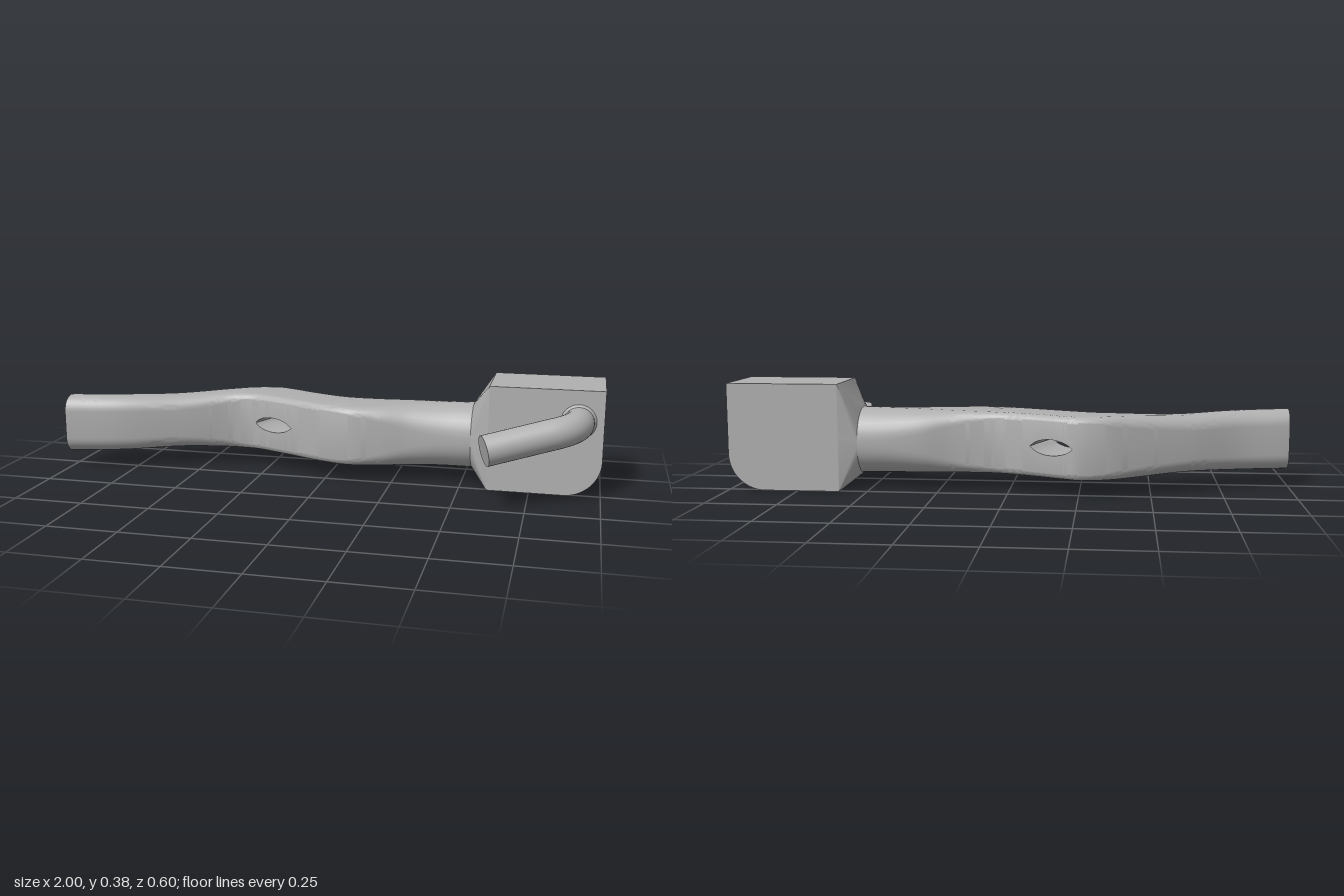
import * as THREE from 'three';
import { toCreasedNormals } from 'three/addons/utils/BufferGeometryUtils.js';

const V = (x, y, z) => new THREE.Vector3(x, y, z);

// Half of a rounded-rectangle section, running front -> top (or bottom) -> back.
// gap lifts the open edge off the middle line, which opens the slot.
function halfSection(back, front, cy, halfH, radius, gap, sign) {
  const mid = back.clone().add(front).multiplyScalar(0.5);
  const dir = front.clone().sub(back);
  const w = dir.length() / 2;
  const r = Math.min(radius, w - 0.001, halfH - 0.001);
  dir.normalize();
  const at = (s, y) => V(mid.x + dir.x * s, cy + sign * y, mid.z + dir.z * s);
  const pts = [at(w, gap)];
  for (const side of [0, 1]) {
    for (let i = 0; i <= 8; i++) {
      const a = (side + i / 8) * Math.PI / 2;
      pts.push(at((side ? r - w : w - r) + r * Math.cos(a), halfH - r + r * Math.sin(a)));
    }
  }
  pts.push(at(-w, gap));
  return pts;
}

// Joins closed rings into a skin; optionally caps the first ring.
function loft(rings, flip, capStart, crease) {
  const n = rings[0].length;
  const pos = rings.flat().flatMap(p => [p.x, p.y, p.z]);
  const idx = [];
  const tri = (a, b, c) => (flip ? idx.push(a, c, b) : idx.push(a, b, c));
  for (let i = 0; i < rings.length - 1; i++) {
    for (let j = 0; j < n; j++) {
      const k = (j + 1) % n, a = i * n, b = a + n;
      tri(a + j, b + j, a + k);
      tri(b + j, b + k, a + k);
    }
  }
  if (capStart) for (let j = 1; j < n - 1; j++) tri(0, j, j + 1);
  const g = new THREE.BufferGeometry();
  g.setAttribute('position', new THREE.Float32BufferAttribute(pos, 3));
  g.setIndex(idx);
  return toCreasedNormals(g, crease);
}

export function createModel() {
  const model = new THREE.Group();
  const grey = new THREE.MeshStandardMaterial({ color: 0xb0b0b0 });
  grey.name = 'plain grey';
  const add = (name, geometry) => {
    const m = new THREE.Mesh(geometry, grey);
    m.name = name;
    model.add(m);
    return m;
  };

  // Wavy arm stations: back x, back z, front x, front z, half height, corner radius
  const stations = [
    [-1, -0.02, -1, 0.10, 0.11, 0.058],
    [-0.82, -0.075, -0.79, 0.05, 0.107, 0.055],
    [-0.64, -0.165, -0.58, -0.035, 0.101, 0.05],
    [-0.44, -0.255, -0.43, -0.102, 0.108, 0.04],
    [-0.34, -0.293, -0.37, -0.119, 0.11, 0.03],
    [-0.25, -0.305, -0.32, -0.12, 0.11, 0.025],
    [-0.19, -0.287, -0.27, -0.105, 0.11, 0.025],
    [-0.08, -0.235, -0.15, -0.055, 0.11, 0.025],
    [0.02, -0.197, -0.02, 0.0, 0.11, 0.025],
    [0.09, -0.19, 0.09, 0.03, 0.11, 0.03],
    [0.2, -0.2, 0.2, 0.02, 0.112, 0.05],
    [0.31, -0.224, 0.31, 0.0, 0.115, 0.08],
    [0.42, -0.237, 0.42, -0.01, 0.117, 0.1],
    [0.54, -0.245, 0.54, -0.015, 0.12, 0.11],
  ];
  const curve = f => new THREE.CatmullRomCurve3(stations.map(f), false, 'catmullrom', 0.5);
  const backLine = curve(s => V(s[0], 0, s[1]));
  const frontLine = curve(s => V(s[2], 0, s[3]));
  const sizeLine = curve(s => V(s[4], s[5], 0));
  const midY = 0.17, count = 220;

  // Upper and lower halves of the arm, parting around the slot
  for (const sign of [1, -1]) {
    const rings = [];
    for (let i = 0; i <= count; i++) {
      const t = i / count;
      const b = backLine.getPoint(t), f = frontLine.getPoint(t), s = sizeLine.getPoint(t);
      const u = ((b.x + f.x) / 2 + 0.19) / 0.075;
      const gap = 0.028 * Math.pow(Math.max(0, 1 - u * u), 0.7);
      rings.push(halfSection(b, f, midY, s.x, s.y, gap, sign));
    }
    add(sign > 0 ? 'armUpperHalf' : 'armLowerHalf', loft(rings, sign < 0, true, 0.6));
  }

  // Flared collar from the arm to the block
  const fullSection = (x, z0, z1, cy, halfH, r) => {
    const half = s => halfSection(V(x, 0, z0), V(x, 0, z1), cy, halfH, r, 0, s);
    return [...half(1), ...half(-1).reverse().slice(1, -1)];
  };
  add('collar', loft([
    fullSection(0.535, -0.245, -0.015, midY, 0.12, 0.11),
    fullSection(0.6, -0.26, 0.01, 0.191, 0.191, 0.001),
  ], false, false, 0.5));

  // Block with one rounded lower corner
  const outline = new THREE.Shape();
  outline.moveTo(0.6, 0);
  outline.lineTo(0.87, 0);
  outline.absarc(0.87, 0.13, 0.13, -Math.PI / 2, 0, false);
  outline.lineTo(1, 0.382);
  outline.lineTo(0.6, 0.382);
  outline.closePath();
  const block = new THREE.ExtrudeGeometry(outline, { depth: 0.27, bevelEnabled: false, curveSegments: 16 });
  block.translate(0, 0, -0.26);
  add('block', toCreasedNormals(block, 0.5));

  // Bent peg with a flat end and a small fillet at its root
  const radius = 0.054, tip = V(0.608, 0.207, 0.247), bend = V(0.82, 0.254, 0.16);
  const path = new THREE.CurvePath();
  path.add(new THREE.LineCurve3(V(0.912, 0.27, -0.01), V(0.912, 0.27, 0.03)));
  path.add(new THREE.QuadraticBezierCurve3(V(0.912, 0.27, 0.03), V(0.912, 0.272, 0.123), bend));
  path.add(new THREE.LineCurve3(bend, tip));
  add('peg', new THREE.TubeGeometry(path, 60, radius, 32, false));
  const end = add('pegEnd', new THREE.CircleGeometry(radius, 32));
  end.position.copy(tip);
  end.quaternion.setFromUnitVectors(V(0, 0, 1), tip.clone().sub(bend).normalize());
  const fillet = add('pegFillet', new THREE.CylinderGeometry(radius, radius + 0.008, 0.01, 32, 1, true));
  fillet.rotation.x = Math.PI / 2;
  fillet.position.set(0.912, 0.27, 0.015);

  return model;
}
